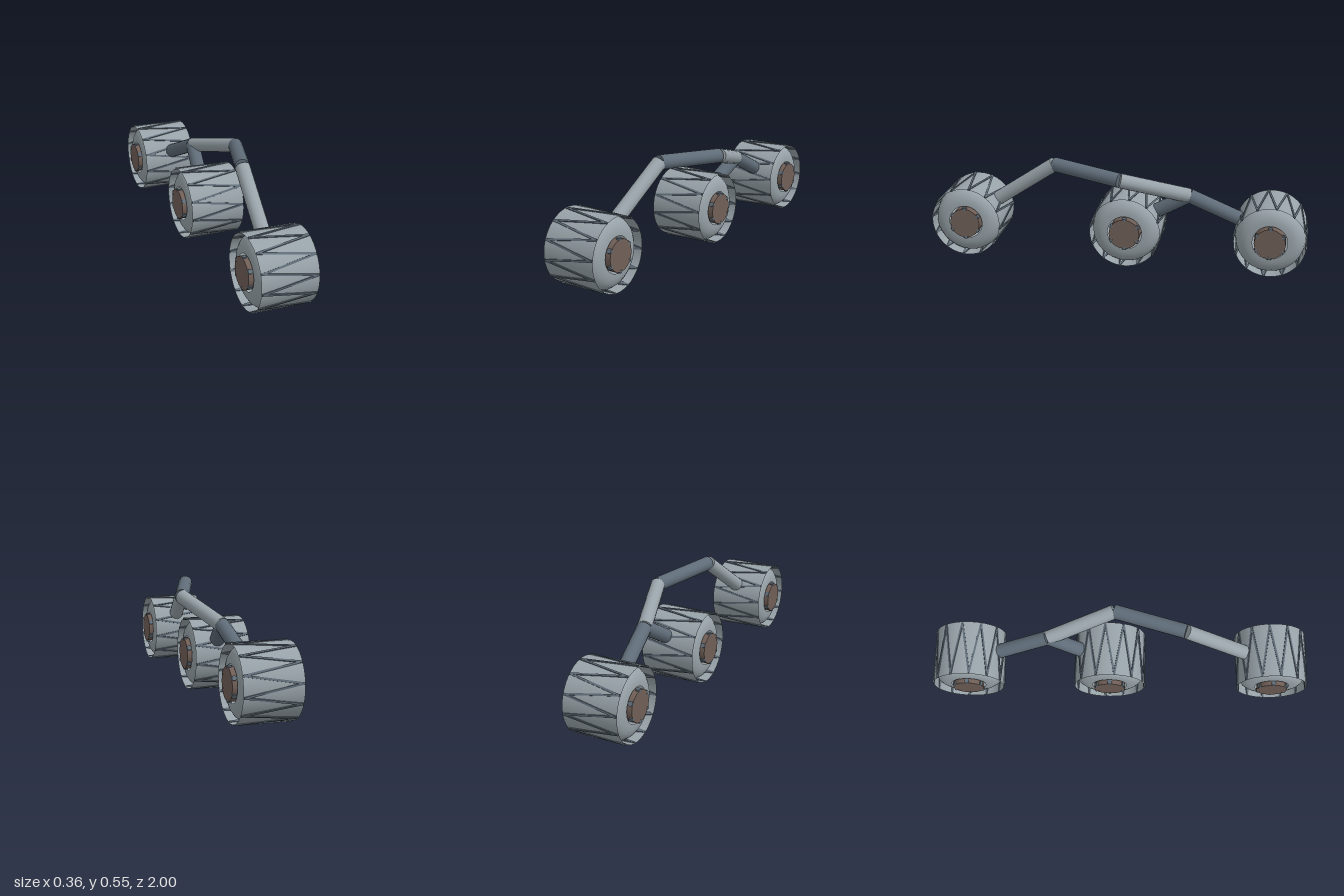
import * as THREE from 'three';

const paleGrey = new THREE.MeshStandardMaterial({ color: 0x98a3a9, side: THREE.DoubleSide });
paleGrey.name = 'paleGrey';
const slate = new THREE.MeshStandardMaterial({ color: 0x5f6c78 });
slate.name = 'slate';
const brown = new THREE.MeshStandardMaterial({ color: 0x705f57 });
brown.name = 'brown';

const WHEEL_X = -0.022, WHEEL_Y = 0.192, HALF = 0.145, RADIUS = 0.186;
const Y_AXIS = new THREE.Vector3(0, 1, 0);

function add(parent, name, geometry, material) {
  const mesh = new THREE.Mesh(geometry, material);
  mesh.name = name;
  parent.add(mesh);
  return mesh;
}

// Point on the wheel surface; angle runs from the front upwards
const onWheel = (x, r, a) => new THREE.Vector3(x, r * Math.sin(a), r * Math.cos(a));

// Round tube between two points
function addTube(parent, name, a, b, radius, material) {
  const dir = b.clone().sub(a);
  const tube = add(parent, name, new THREE.CylinderGeometry(radius, radius, dir.length(), 16), material);
  tube.position.copy(a).add(b).multiplyScalar(0.5);
  tube.quaternion.setFromUnitVectors(Y_AXIS, dir.normalize());
  return tube;
}

function createWheel(name, z) {
  const wheel = new THREE.Group();
  wheel.name = name;
  wheel.position.set(WHEEL_X, WHEEL_Y, z);

  // Thin outer band, open at both ends
  const band = add(wheel, 'tyreBand', new THREE.CylinderGeometry(RADIUS, RADIUS, HALF * 2, 48, 1, true), paleGrey);
  band.rotation.z = Math.PI / 2;

  // Body with rounded shoulders and an opening round the hub
  const shoulder = [[0.09, 0.14], [0.115, 0.139], [0.14, 0.131], [0.16, 0.117], [0.174, 0.098], [0.181, 0.07]];
  const profile = [
    ...shoulder.map(([r, h]) => new THREE.Vector2(r, -h)),
    ...shoulder.slice().reverse().map(([r, h]) => new THREE.Vector2(r, h)),
  ];
  const body = add(wheel, 'tyreBody', new THREE.LatheGeometry(profile, 48), paleGrey);
  body.rotation.z = Math.PI / 2;

  // Hub drum through the middle
  const hub = add(wheel, 'hub', new THREE.CylinderGeometry(0.081, 0.081, 0.322, 16), brown);
  hub.rotation.z = Math.PI / 2;

  // Radial studs round each hub end
  for (const side of [-1, 1]) {
    for (let i = 0; i < 6; i++) {
      const a = Math.PI / 6 + i * Math.PI / 3;
      addTube(wheel, 'hubStud', onWheel(side * 0.15, 0.07, a), onWheel(side * 0.15, 0.086, a), 0.0125, slate);
    }
  }

  // Zigzag tread bars
  const step = Math.PI / 12;
  for (let i = 0; i < 24; i++) {
    const tip = (k) => onWheel(k % 2 ? -0.138 : 0.138, 0.187, (k + 0.5) * step);
    const a = tip(i), b = tip(i + 1);
    const along = b.clone().sub(a);
    const length = along.length();
    along.normalize();
    const mid = a.clone().add(b).multiplyScalar(0.5);
    const out = new THREE.Vector3(0, mid.y, mid.z).normalize();
    const across = out.clone().cross(along).normalize();
    const bar = add(wheel, 'treadBar', new THREE.BoxGeometry(length + 0.006, 0.01, 0.009), slate);
    bar.quaternion.setFromRotationMatrix(new THREE.Matrix4().makeBasis(along, across, along.clone().cross(across)));
    bar.position.copy(mid);
  }
  return wheel;
}

export function createModel() {
  const model = new THREE.Group();
  model.name = 'rockerSuspension';

  const wheels = { frontWheel: 0.81, middleWheel: -0.055, rearWheel: -0.808 };
  for (const [name, z] of Object.entries(wheels)) model.add(createWheel(name, z));

  // Bent linkage joining the three wheels
  const centre = (z) => new THREE.Vector3(WHEEL_X, WHEEL_Y, z);
  const knee = new THREE.Vector3(0.022, 0.516, 0.337);
  const pivot = new THREE.Vector3(0.14, 0.489, -0.032);
  const fork = new THREE.Vector3(0.03, 0.39, -0.38);
  const arms = [
    ['frontArm', centre(wheels.frontWheel), knee, paleGrey],
    ['frontUpperArm', knee, pivot, slate],
    ['rearUpperArm', pivot, fork, paleGrey],
    ['rearArm', fork, centre(wheels.rearWheel), slate],
    ['middleArm', fork, centre(wheels.middleWheel), slate],
  ];
  for (const [name, a, b, material] of arms) addTube(model, name, a, b, 0.038, material);

  return model;
}
